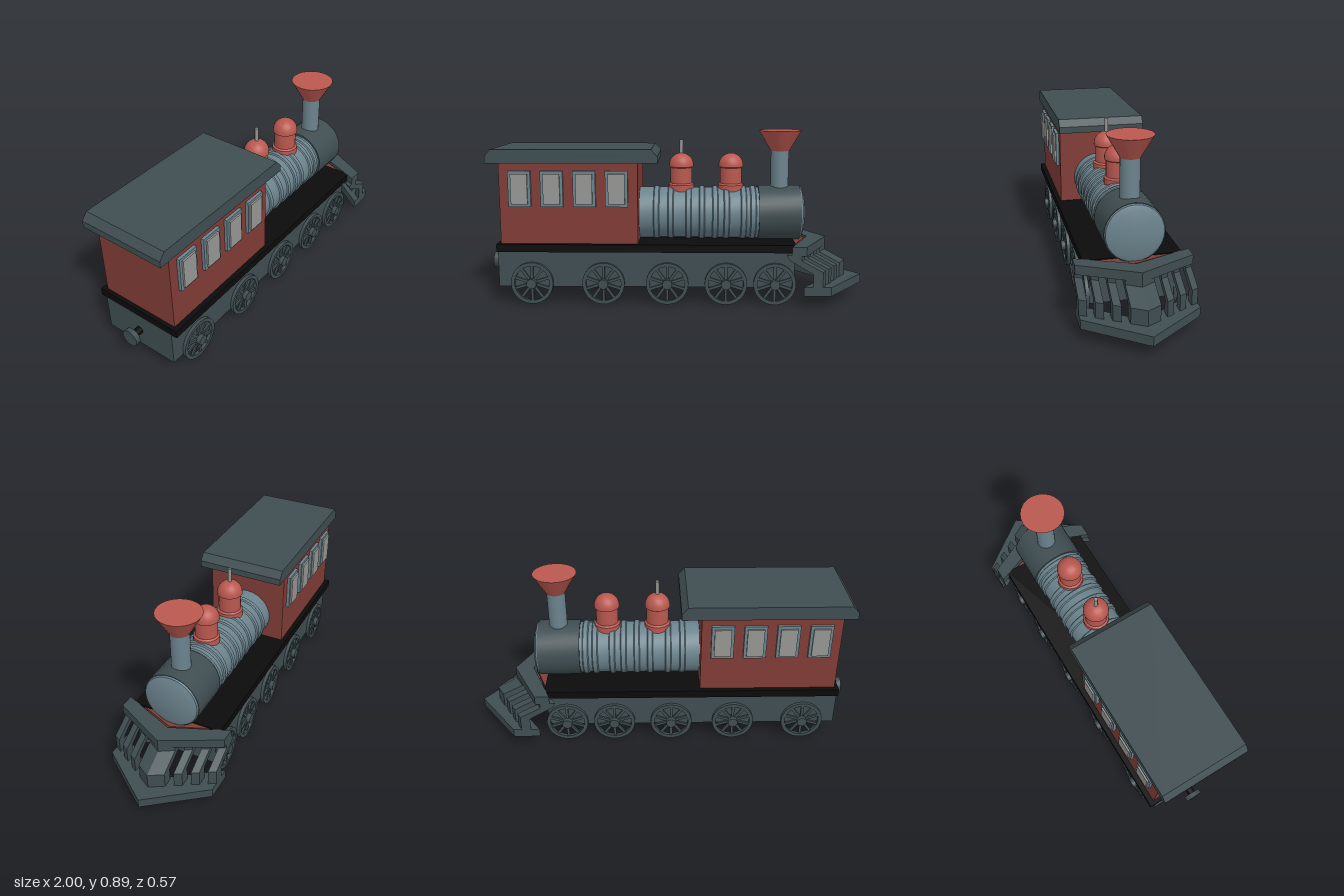
import * as THREE from 'three';
import { toCreasedNormals } from 'three/addons/utils/BufferGeometryUtils.js';

const mat = (name, color) => Object.assign(new THREE.MeshStandardMaterial({ color }), { name });

export function createModel() {
  const slate = mat('dark slate', 0x3f4d51);
  const steel = mat('steel blue', 0x6b838d);
  const brick = mat('brick red', 0x813c36);
  const coral = mat('coral red', 0xb9584f);
  const black = mat('black', 0x0b0b0b);
  const pane = mat('window grey', 0x969694);

  const model = new THREE.Group();
  model.name = 'steamLocomotive';

  const add = (name, geo, material, x = 0, y = 0, z = 0, parent = model) => {
    const m = new THREE.Mesh(geo, material);
    m.name = name;
    m.position.set(x, y, z);
    parent.add(m);
    return m;
  };
  // box given by its limits on each axis
  const box = (name, material, [x0, x1], [y0, y1], [z0, z1]) =>
    add(name, new THREE.BoxGeometry(x1 - x0, y1 - y0, z1 - z0), material,
      (x0 + x1) / 2, (y0 + y1) / 2, (z0 + z1) / 2);
  // turned part from [radius, height] pairs, crisp at profile corners
  const turned = (pts, sides = 28) => toCreasedNormals(
    new THREE.LatheGeometry(pts.map(p => new THREE.Vector2(...p)), sides), 0.5);
  const lying = (pts, sides) => turned(pts, sides).rotateZ(-Math.PI / 2);
  const prism = (pts, depth) => new THREE.ExtrudeGeometry(
    new THREE.Shape(pts.map(p => new THREE.Vector2(...p))), { depth, bevelEnabled: false });

  // Frame and running board
  box('frame', slate, [-0.93, 0.61], [0.09, 0.28], [-0.208, 0.208]);
  box('runningBoard', black, [-0.93, 0.615], [0.28, 0.32], [-0.24, 0.24]);

  // Cab and roof with sloped ends
  box('cab', brick, [-0.91, -0.2], [0.32, 0.745], [-0.214, 0.214]);
  add('roof', prism([[-0.975, 0.738], [-0.098, 0.738], [-0.098, 0.772], [-0.13, 0.808],
    [-0.945, 0.808], [-0.975, 0.772]], 0.46), slate, 0, 0, -0.23);

  // Cab windows
  for (const s of [1, -1]) {
    for (const x of [-0.803, -0.638, -0.472, -0.307]) {
      add('windowFrame', new THREE.BoxGeometry(0.115, 0.185, 0.02), steel, x, 0.607, s * 0.22);
      add('windowPane', new THREE.BoxGeometry(0.085, 0.155, 0.009), pane, x, 0.607, s * 0.2345);
    }
  }

  // Boiler with raised bands
  const barrel = [[0, -0.21], [0.137, -0.21]];
  for (const x of [-0.11, -0.035, 0.06, 0.13, 0.2, 0.26, 0.35, 0.4]) {
    barrel.push([0.137, x - 0.016], [0.144, x - 0.011], [0.144, x + 0.011], [0.137, x + 0.016]);
  }
  barrel.push([0.137, 0.44], [0, 0.44]);
  add('boiler', lying(barrel), steel, 0, 0.452, 0);
  add('smokebox', lying([[0, 0.43], [0.147, 0.43], [0.147, 0.65], [0, 0.65]]), slate, 0, 0.452, 0);
  add('smokeboxDoor', lying([[0.147, 0.645], [0.14, 0.658], [0.112, 0.67], [0, 0.67]]), steel, 0, 0.452, 0);

  // Chimney with flared cap
  add('chimney', turned([[0.048, 0.57], [0.048, 0.79]], 24), steel, 0.545, 0, 0);
  add('chimneyCap', turned([[0, 0.785], [0.05, 0.785], [0.113, 0.893], [0, 0.893]], 24), coral, 0.545, 0, 0);

  // Domes and whistle
  const dome = [[0.068, 0.57], [0.068, 0.604], [0.058, 0.612], [0.058, 0.695], [0.066, 0.7]];
  for (let i = 0; i <= 8; i++) {
    const a = (i / 8) * Math.PI / 2;
    dome.push([0.066 * Math.cos(a), 0.706 + 0.066 * Math.sin(a)]);
  }
  for (const x of [0.02, 0.285]) add('dome', turned(dome, 24), coral, x, 0, 0);
  add('whistle', new THREE.CylinderGeometry(0.01, 0.01, 0.08, 12), pane, 0.02, 0.803, 0);

  // Spoked wheels
  const rim = new THREE.Shape().absarc(0, 0, 0.11, 0, Math.PI * 2);
  rim.holes.push(new THREE.Path().absarc(0, 0, 0.091, 0, Math.PI * 2, true));
  const rimGeo = toCreasedNormals(new THREE.ExtrudeGeometry(rim,
    { depth: 0.018, bevelEnabled: false, curveSegments: 28 }), 0.5);
  const spokeGeo = new THREE.BoxGeometry(0.014, 0.2, 0.01);
  const hubGeo = new THREE.CylinderGeometry(0.026, 0.026, 0.04, 16).rotateX(Math.PI / 2);
  for (const s of [1, -1]) {
    for (const x of [-0.755, -0.382, -0.05, 0.255, 0.508]) {
      const wheel = new THREE.Group();
      wheel.name = 'wheel';
      wheel.position.set(x, 0.11, s * 0.216);
      model.add(wheel);
      add('wheelRim', rimGeo, slate, 0, 0, -0.009, wheel);
      add('wheelHub', hubGeo, slate, 0, 0, s * 0.007, wheel);
      for (let i = 0; i < 5; i++) {
        add('wheelSpokes', spokeGeo, slate, 0, 0, 0, wheel).rotation.z = i * Math.PI / 5;
      }
    }
  }

  // Rear buffer
  add('bufferShaft', lying([[0, -0.98], [0.02, -0.98], [0.02, -0.92], [0, -0.92]], 16), black, 0, 0.185, 0);
  add('bufferHead', lying([[0, -1], [0.045, -1], [0.045, -0.975], [0, -0.975]], 20), slate, 0, 0.185, 0);

  // Front deck and pilot: two V-shaped bars joined by bent slats
  const flat = (pts, y0, y1) => prism(pts, y1 - y0).rotateX(-Math.PI / 2).translate(0, y0, 0);
  const vBar = (backTip, frontTip, backApex, frontApex, y0, y1) => flat([
    [backTip, -0.283], [frontTip, -0.283], [frontApex, 0], [frontTip, 0.283],
    [backTip, 0.283], [backApex, 0]], y0, y1);
  add('frontDeck', flat([[0.6, -0.22], [0.685, 0], [0.6, 0.22]], 0.295, 0.315), brick);
  add('pilotTopBar', vBar(0.585, 0.66, 0.7, 0.8, 0.274, 0.321), slate);
  add('pilotBottomBar', vBar(0.65, 0.79, 0.85, 1, 0.065, 0.112), slate);

  const slat = (z0, width) => {
    const g = prism([[0.72, 0.28], [0.8, 0.28], [0.8, 0.25], [0.91, 0.19], [0.91, 0.11],
      [0.86, 0.11], [0.86, 0.18], [0.74, 0.25]].reverse(), width).translate(0, 0, z0);
    const p = g.attributes.position;
    for (let i = 0; i < p.count; i++) p.setX(i, p.getX(i) - 0.58 * Math.abs(p.getZ(i)));
    g.computeVertexNormals();
    return g;
  };
  for (const [z0, w] of [[0, 0.07], [0.107, 0.035], [0.178, 0.035], [0.248, 0.035]]) {
    add('pilotSlat', slat(z0, w), slate);
    add('pilotSlat', slat(-z0 - w, w), slate);
  }
  return model;
}
